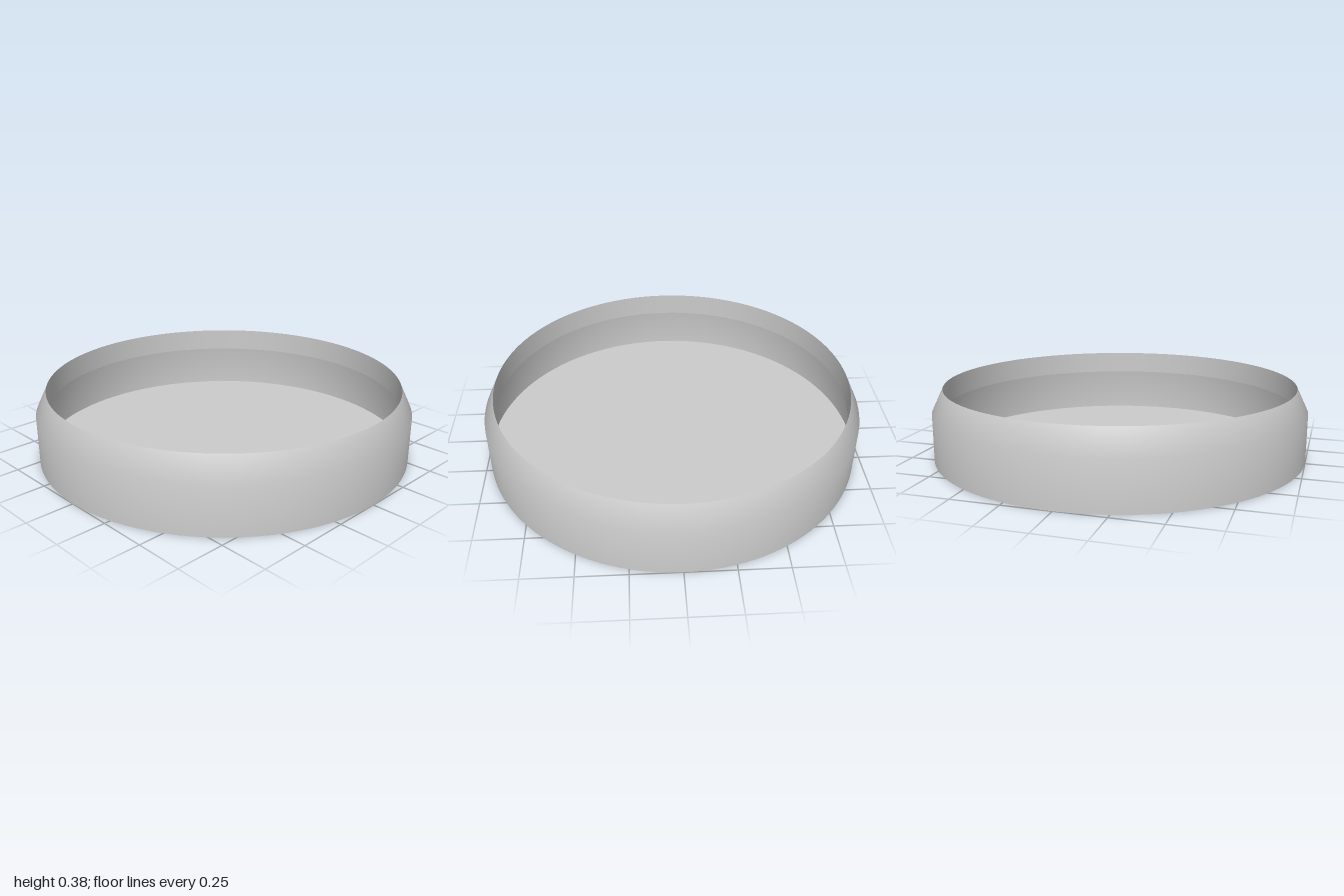
import * as THREE from 'three';

const SEGMENTS = 128;
const material = new THREE.MeshStandardMaterial({ color: 0xcccccc, side: THREE.DoubleSide });

// Thin surface of revolution from [radius, height] pairs
function turned(name, profile) {
  const points = profile.map(([r, y]) => new THREE.Vector2(r, y));
  const mesh = new THREE.Mesh(new THREE.LatheGeometry(points, SEGMENTS), material);
  mesh.name = name;
  return mesh;
}

export function createModel() {
  const model = new THREE.Group();
  model.name = 'roundDish';

  // Flat floor
  const floor = new THREE.Mesh(new THREE.CircleGeometry(1, SEGMENTS), material);
  floor.name = 'floor';
  floor.rotation.x = Math.PI / 2;
  model.add(floor);

  // Upright wall leaning in to the rim, softly shaded across the bend
  model.add(turned('outerWall', [[1, 0], [1, 0.25], [0.94, 0.375]]));

  // Short straight lip hanging inside the rim
  model.add(turned('innerLip', [[0.94, 0.375], [0.94, 0.25]]));

  return model;
}
